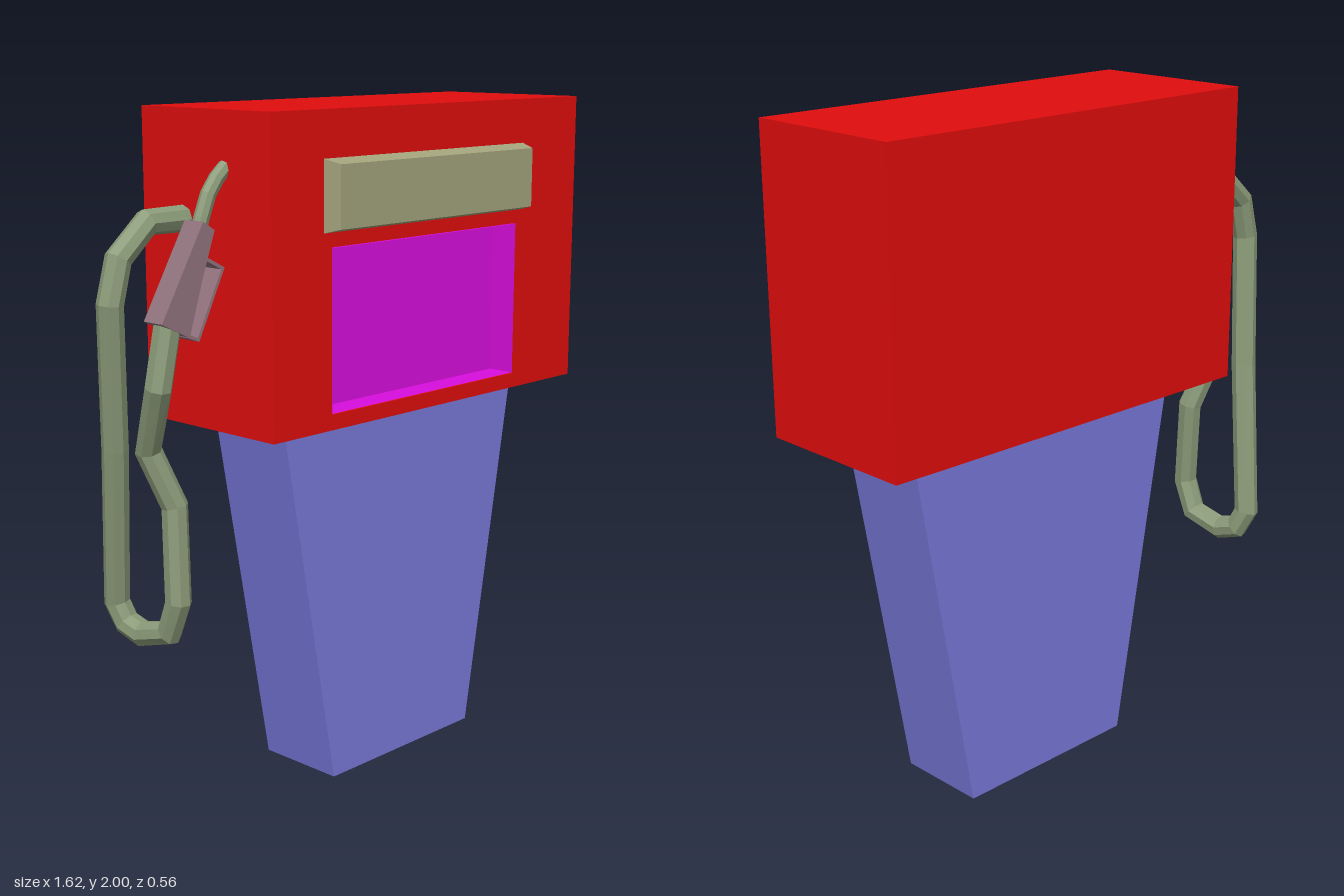
import * as THREE from 'three';

const paint = (color) => new THREE.MeshStandardMaterial({ color, flatShading: true, side: THREE.DoubleSide });
const red = paint(0xe00d0d), blue = paint(0x7878da), magenta = paint(0xd80edd);
const olive = paint(0xa3a37c), green = paint(0x8a9a78), mauve = paint(0x94757f);

const vectors = (list) => list.map(([x, y]) => new THREE.Vector2(x, y));

// Flat outline (with an optional hole) extruded from z0 to z1
function slab(outline, z0, z1, hole) {
  const shape = new THREE.Shape(vectors(outline));
  if (hole) shape.holes.push(new THREE.Path(vectors(hole)));
  return new THREE.ExtrudeGeometry(shape, { depth: z1 - z0, bevelEnabled: false }).translate(0, 0, z0);
}

const rect = (x0, y0, x1, y1) => [[x0, y0], [x1, y0], [x1, y1], [x0, y1]];

// Polyline path whose rings sit exactly on the given points
class Bends extends THREE.Curve {
  constructor(points) {
    super();
    this.points = points.map((p) => new THREE.Vector3(...p));
  }
  getPoint(t, target = new THREE.Vector3()) {
    const n = this.points.length - 1, i = Math.min(Math.floor(t * n + 1e-6), n - 1);
    return target.lerpVectors(this.points[i], this.points[i + 1], t * n - i);
  }
  getPointAt(t, target) {
    return this.getPoint(t, target);
  }
  getTangentAt(t, target = new THREE.Vector3()) {
    const p = this.points, n = p.length - 1, i = Math.round(t * n);
    const unit = (a, b) => new THREE.Vector3().subVectors(b, a).normalize();
    target.set(0, 0, 0);
    if (i > 0) target.add(unit(p[i - 1], p[i]));
    if (i < n) target.add(unit(p[i], p[i + 1]));
    return target.normalize();
  }
}

const pipe = (points, radius) => new THREE.TubeGeometry(new Bends(points), points.length - 1, radius, 8, false);

export function createModel() {
  const model = new THREE.Group();
  const add = (name, geometry, material, parent = model) => {
    const mesh = new THREE.Mesh(geometry, material);
    mesh.name = name;
    parent.add(mesh);
    return mesh;
  };

  // Tapered pedestal
  add('pedestal', slab([[-0.16, 0], [0.46, 0], [0.655, 1.12], [-0.36, 1.12]], -0.165, 0.12), blue);

  // Cabinet: solid rear and a front frame around the recess
  const cabinet = new THREE.Group();
  cabinet.name = 'cabinet';
  model.add(cabinet);
  const outer = rect(-0.51, 1.12, 0.81, 2);
  add('cabinetRear', slab(outer, -0.28, 0.145), red, cabinet);
  add('cabinetFrame', slab(outer, 0.145, 0.235, rect(-0.285, 1.165, 0.52, 1.63)), red, cabinet);

  // Recess lining: a box without its front face
  const lining = new THREE.BoxGeometry(0.801, 0.461, 0.087);
  const faces = Array.from(lining.index.array);
  faces.splice(24, 6);
  lining.setIndex(faces);
  lining.clearGroups();
  add('recessLining', lining.translate(0.1175, 1.3975, 0.1915), magenta);

  // Display block, narrowing towards the front
  const display = new THREE.BoxGeometry(0.86, 0.2, 0.05);
  const pos = display.attributes.position;
  for (let i = 0; i < pos.count; i++) {
    if (pos.getZ(i) > 0) pos.setXY(i, pos.getX(i) - Math.sign(pos.getX(i)) * 0.015, pos.getY(i) - Math.sign(pos.getY(i)) * 0.013);
  }
  display.computeVertexNormals();
  add('display', display.translate(0.115, 1.77, 0.259), olive);

  // Hose from the cabinet side, down in a loop and up to the nozzle
  add('hose', pipe([
    [-0.5, 1.7, -0.115], [-0.64, 1.7, -0.115], [-0.742, 1.61, -0.115], [-0.775, 1.49, -0.115],
    [-0.737, 1.08, -0.16], [-0.69, 0.61, -0.232], [-0.678, 0.55, -0.205], [-0.673, 0.53, -0.14],
    [-0.668, 0.56, -0.03], [-0.667, 0.66, 0.01], [-0.655, 0.93, -0.01], [-0.71, 1.09, -0.05],
    [-0.745, 1.28, 0.04], [-0.71, 1.47, 0.048],
  ], 0.038), green);

  // Nozzle: grip, trigger guard and spout
  const nozzle = new THREE.Group();
  nozzle.name = 'nozzle';
  model.add(nozzle);
  add('grip', slab([[-0.765, 1.46], [-0.675, 1.415], [-0.575, 1.69], [-0.615, 1.715]], 0.012, 0.085), mauve, nozzle);
  add('triggerGuard', slab(
    [[-0.675, 1.413], [-0.634, 1.397], [-0.539, 1.587], [-0.605, 1.622]], 0.015, 0.082,
    [[-0.665, 1.419], [-0.639, 1.408], [-0.551, 1.583], [-0.603, 1.61]],
  ), mauve, nozzle);
  add('spout', pipe([
    [-0.61, 1.66, 0.05], [-0.59, 1.72, 0.05], [-0.565, 1.78, 0.05], [-0.535, 1.82, 0.05], [-0.5, 1.85, 0.05],
  ], 0.022), green, nozzle);

  return model;
}
